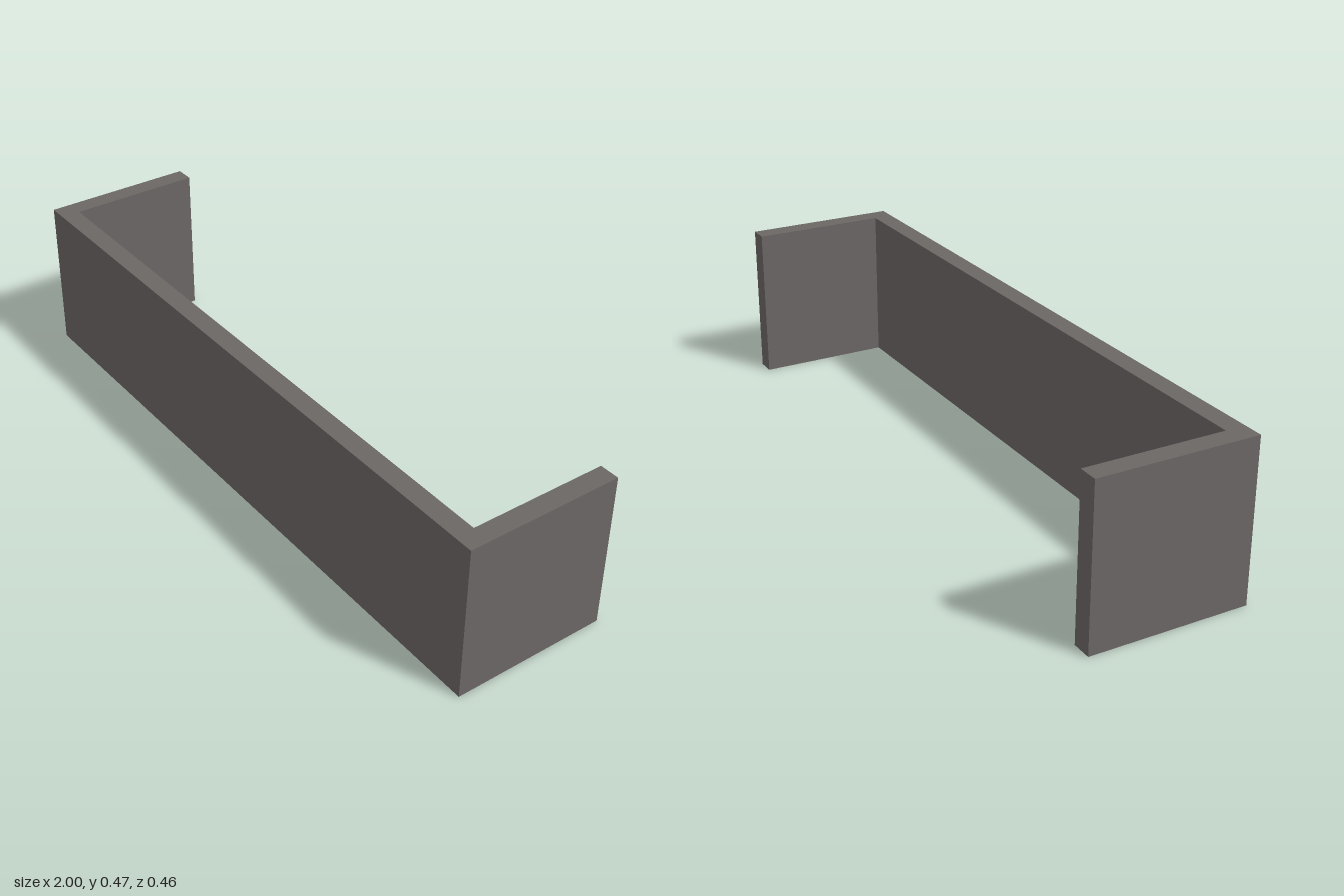
import * as THREE from 'three';

const HEIGHT = 0.466, HALF_WIDTH = 1, HALF_DEPTH = 0.232, WALL = 0.058;

export function createModel() {
  const group = new THREE.Group();
  group.name = 'bracket';

  const warmGrey = new THREE.MeshStandardMaterial({ color: 0x6b6765 });
  warmGrey.name = 'warmGrey';

  // U-shaped plan, open at the back (shape y is -z)
  const inner = HALF_WIDTH - WALL;
  const plan = new THREE.Shape([
    [-HALF_WIDTH, -HALF_DEPTH], [HALF_WIDTH, -HALF_DEPTH],
    [HALF_WIDTH, HALF_DEPTH], [inner, HALF_DEPTH],
    [inner, -HALF_DEPTH + WALL], [-inner, -HALF_DEPTH + WALL],
    [-inner, HALF_DEPTH], [-HALF_WIDTH, HALF_DEPTH],
  ].map(([x, y]) => new THREE.Vector2(x, y)));

  // Front panel and both side returns, raised from the ground in one piece
  const geometry = new THREE.ExtrudeGeometry(plan, { depth: HEIGHT, bevelEnabled: false });
  geometry.rotateX(-Math.PI / 2);
  const panel = new THREE.Mesh(geometry, warmGrey);
  panel.name = 'frontPanelWithSideReturns';
  group.add(panel);

  return group;
}
